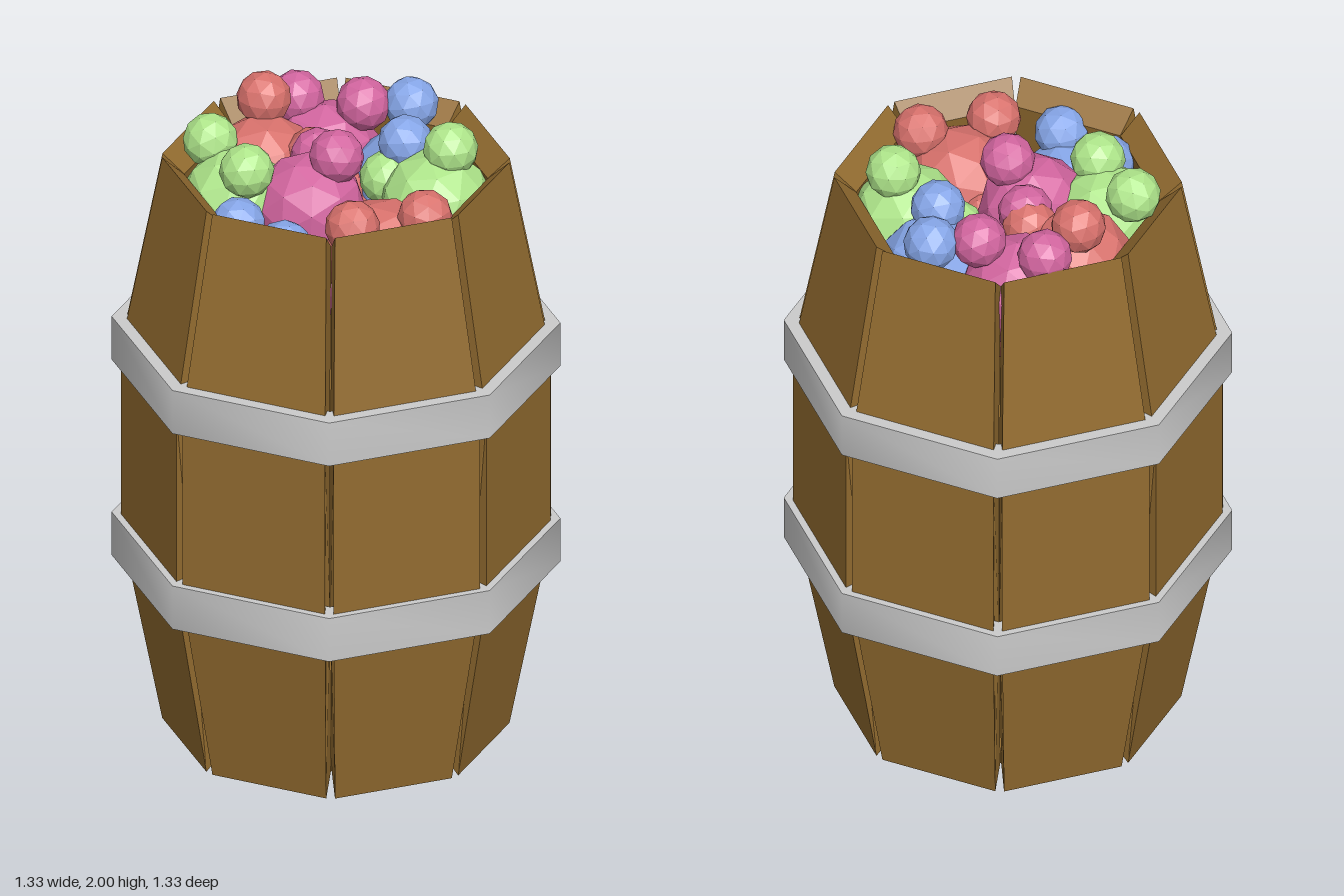
import * as THREE from 'three';
import { toCreasedNormals } from 'three/addons/utils/BufferGeometryUtils.js';

const SIDES = 8, HALF = Math.PI / SIDES;
const mat = (color) => new THREE.MeshStandardMaterial({ color, flatShading: true });
const wood = mat(0x936c30);
const metal = new THREE.MeshStandardMaterial({ color: 0xcccccc });
const red = mat(0xd8716c), green = mat(0xaee58a), blue = mat(0x86a6e8), pink = mat(0xd2659f);

function add(parent, name, geometry, material, x = 0, y = 0, z = 0) {
  const mesh = new THREE.Mesh(geometry, material);
  mesh.name = name;
  mesh.position.set(x, y, z);
  parent.add(mesh);
  return mesh;
}

// One bent plank: its side profile (corner radius, height) spread over an eighth of a turn
function staveGeometry() {
  const profile = [[0.52, 0], [0.642, 0.63], [0.642, 1.24], [0.52, 1.872],
    [0.45, 1.81], [0.565, 1.22], [0.565, 0.65], [0.45, 0.06]];
  const shape = new THREE.Shape(profile.map(([r, y]) => new THREE.Vector2(r, y)));
  const g = new THREE.ExtrudeGeometry(shape, { depth: 1, bevelEnabled: false });
  const p = g.attributes.position;
  for (let i = 0; i < p.count; i++) {
    const r = p.getX(i), y = p.getY(i), side = p.getZ(i) > 0.5 ? 1 : -1;
    // outer corners are drawn in so the seams open as V grooves
    const outer = r > 0.6 || y < 0.01 || y > 1.86;
    p.setX(i, r * Math.cos(HALF));
    p.setZ(i, side * (r * Math.sin(HALF) - (outer ? 0.014 : 0.001)));
  }
  g.computeVertexNormals();
  return g;
}

// Octagonal metal band
function hoopGeometry() {
  const h = 0.072;
  const ring = [[0.59, -h], [0.665, -h], [0.665, h], [0.59, h], [0.59, -h]];
  const lathe = new THREE.LatheGeometry(ring.map(([r, y]) => new THREE.Vector2(r, y)), SIDES);
  return toCreasedNormals(lathe, Math.PI / 3);
}

// Round body with small knobs: [material, body x, y, z, radius, knobs [x, y, z]...]
const lumps = [
  [pink, -0.26, 1.71, -0.20, 0.17, [-0.18, 1.885, -0.28], [-0.36, 1.875, -0.18]],
  [blue, 0.00, 1.69, -0.29, 0.17, [-0.09, 1.88, -0.39], [0.05, 1.86, -0.235]],
  [green, 0.21, 1.72, -0.21, 0.17, [0.23, 1.90, -0.25], [0.04, 1.76, -0.17]],
  [red, 0.28, 1.67, 0.07, 0.18, [0.395, 1.83, 0.01], [0.30, 1.83, 0.215]],
  [red, -0.30, 1.73, 0.01, 0.165, [-0.36, 1.92, -0.045], [-0.15, 1.81, -0.05]],
  [pink, -0.02, 1.73, 0.09, 0.17, [0.04, 1.905, 0.035], [-0.11, 1.83, -0.03]],
  [green, -0.20, 1.73, 0.22, 0.165, [-0.32, 1.885, 0.21], [-0.11, 1.88, 0.26]],
  [blue, 0.09, 1.62, 0.33, 0.16, [-0.03, 1.77, 0.37], [0.17, 1.77, 0.37]],
  // lower layer, filling the gaps
  [pink, 0.30, 1.47, -0.12, 0.18, [0.39, 1.62, -0.12], [0.13, 1.55, 0.18]],
  [pink, -0.12, 1.50, 0.27, 0.18, [-0.12, 1.62, 0.37], [0.05, 1.60, 0.20]],
  [red, -0.05, 1.52, -0.08, 0.19, [0.12, 1.66, 0.02], [-0.10, 1.68, -0.12]],
];

export function createModel() {
  const model = new THREE.Group();
  model.name = 'filledBarrel';

  const staves = new THREE.Group();
  staves.name = 'staves';
  const stave = staveGeometry();
  for (let i = 0; i < SIDES; i++) {
    add(staves, 'stave', stave, wood).rotation.y = HALF * (2 * i + 1);
  }
  model.add(staves);

  add(model, 'bottomBoard', new THREE.CylinderGeometry(0.46, 0.455, 0.04, SIDES), wood, 0, 0.08, 0);

  const hoop = hoopGeometry();
  for (const y of [0.607, 1.26]) add(model, 'hoop', hoop, metal, 0, y, 0);

  // Faceted round filling heaped at the mouth
  const filling = new THREE.Group();
  filling.name = 'filling';
  const ball = new THREE.IcosahedronGeometry(1, 1);
  lumps.forEach(([material, x, y, z, radius, ...knobs], i) => {
    const lump = new THREE.Group();
    lump.name = 'lump';
    const body = add(lump, 'body', ball, material, x, y, z);
    body.scale.setScalar(radius);
    body.rotation.set(i * 0.7, i * 1.3, 0);
    knobs.forEach((k, j) => {
      const knob = add(lump, 'knob', ball, material, ...k);
      knob.scale.setScalar(0.083);
      knob.rotation.set(i * 0.9 + j, i * 0.4, 0);
    });
    filling.add(lump);
  });
  model.add(filling);
  return model;
}
